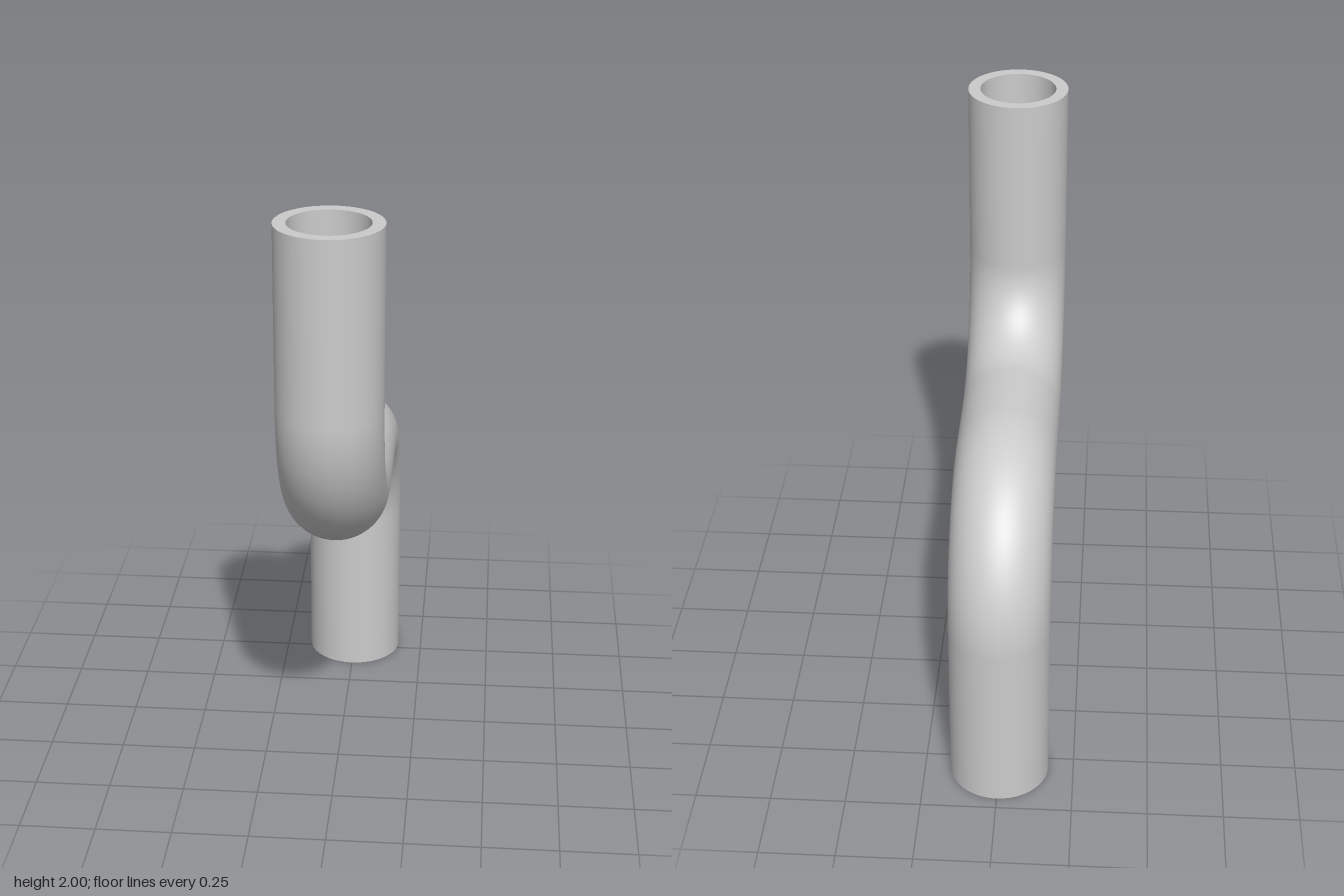
import * as THREE from 'three';

const OUTER = 0.166, BORE = 0.126; // pipe radii
const BEND = 0.415;                // centreline radius of the elbows
const OFFSET = 0.541;              // distance of each leg from the centre
const HEIGHT = 2, SIDES = 64, BEND_STEPS = 28;

// Centreline stations: position (y, z) and heading, 0 = up, PI/2 = forward
function centreline() {
  const path = [{ y: 0, z: -OFFSET, a: 0 }];
  const mid = HEIGHT / 2, cz = OFFSET - BEND;
  for (let i = 0; i <= BEND_STEPS; i++) {
    const a = (i / BEND_STEPS) * Math.PI / 2;
    path.push({ y: mid - BEND + BEND * Math.sin(a), z: -cz - BEND * Math.cos(a), a });
  }
  for (let i = BEND_STEPS; i >= 0; i--) {
    const a = (i / BEND_STEPS) * Math.PI / 2;
    path.push({ y: mid + BEND - BEND * Math.sin(a), z: cz + BEND * Math.cos(a), a });
  }
  path.push({ y: HEIGHT, z: OFFSET, a: 0 });
  return path;
}

// Sweep a circle along the stations; the bore faces inward
function sweep(path, radius, inward) {
  const positions = [], normals = [], index = [];
  const sign = inward ? -1 : 1, row = SIDES + 1;
  path.forEach(({ y, z, a }, i) => {
    for (let j = 0; j <= SIDES; j++) {
      const t = (j / SIDES) * Math.PI * 2;
      const nx = Math.cos(t), ny = -Math.sin(t) * Math.sin(a), nz = Math.sin(t) * Math.cos(a);
      positions.push(radius * nx, y + radius * ny, z + radius * nz);
      normals.push(sign * nx, sign * ny, sign * nz);
      if (i === path.length - 1 || j === SIDES) continue;
      const p = i * row + j, q = p + 1, r = p + row, s = r + 1;
      if (inward) index.push(p, q, r, q, s, r);
      else index.push(p, r, q, q, r, s);
    }
  });
  const geometry = new THREE.BufferGeometry();
  geometry.setAttribute('position', new THREE.Float32BufferAttribute(positions, 3));
  geometry.setAttribute('normal', new THREE.Float32BufferAttribute(normals, 3));
  geometry.setIndex(index);
  return geometry;
}

export function createModel() {
  const group = new THREE.Group();
  group.name = 'offsetPipe';
  const material = new THREE.MeshStandardMaterial({ color: 0xcccccc });
  const add = (name, geometry) => {
    const mesh = new THREE.Mesh(geometry, material);
    mesh.name = name;
    group.add(mesh);
    return mesh;
  };

  // Pipe walls
  const path = centreline();
  add('outerWall', sweep(path, OUTER, false));
  add('innerWall', sweep(path, BORE, true));

  // Flat rims at both open ends
  for (const [name, y, z, turn] of [
    ['topRim', HEIGHT, OFFSET, -Math.PI / 2],
    ['bottomRim', 0, -OFFSET, Math.PI / 2],
  ]) {
    const rim = add(name, new THREE.RingGeometry(BORE, OUTER, SIDES));
    rim.rotation.x = turn;
    rim.position.set(0, y, z);
  }
  return group;
}
